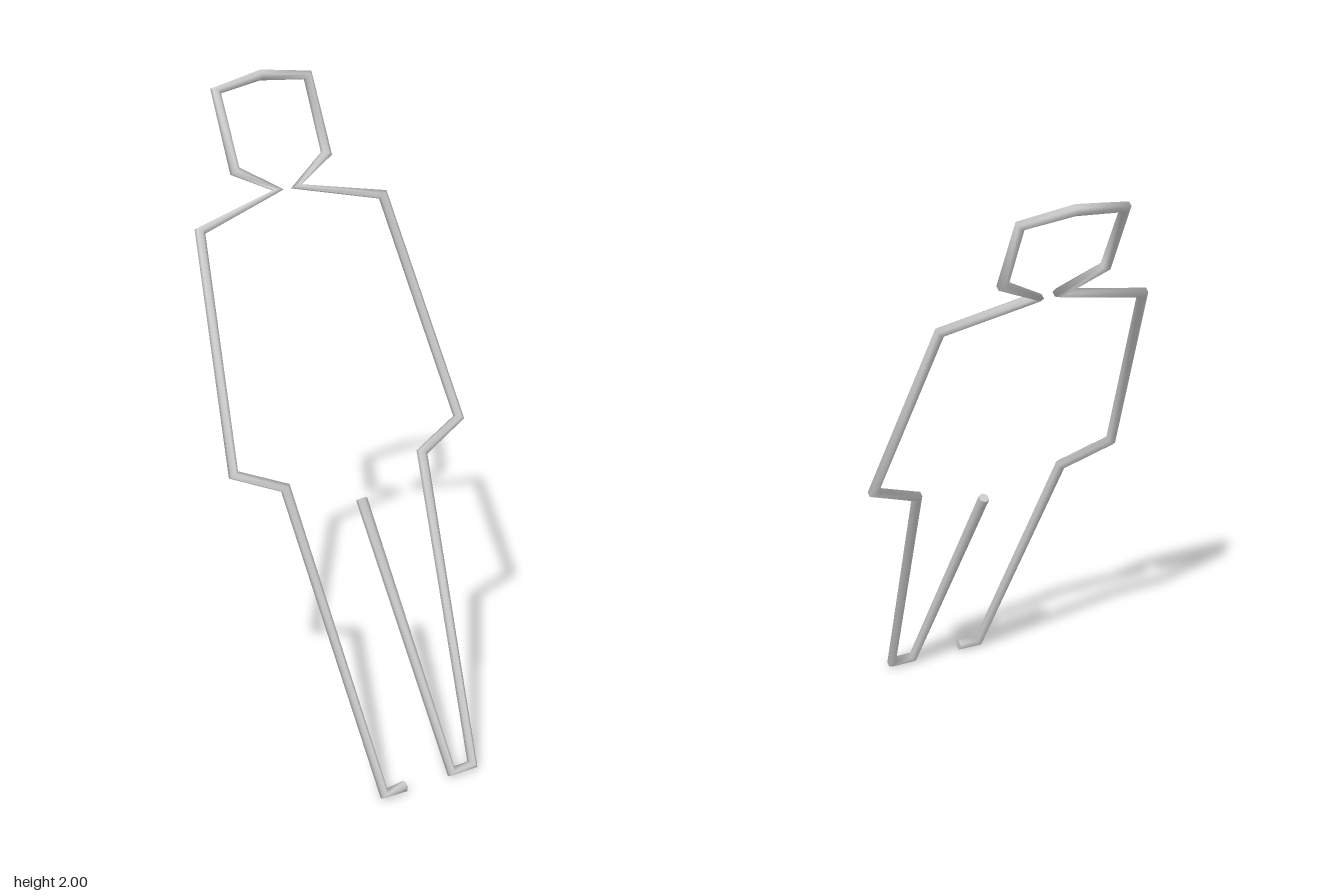
import * as THREE from 'three';

const RADIUS = 0.0175;
const SIDES = 6;
const LEAN = 0.502; // the flat outline leans back by this much depth per unit of height

// right half of the outline, from the hip to the jaw and up the head
const half = [[-0.16, 0.02], [-0.243, 0.886], [-0.4, 0.954], [-0.32, 1.602],
  [-0.032, 1.67], [-0.16, 1.742], [-0.16, 1.962]];

function outlinePoints() {
  const mirrored = half.map(([x, y]) => [-x, y]).reverse();
  const flat = [[-0.085, 0.022], ...half, [0, 1.984], ...mirrored, [0.082, 0.02], [0, 0.805]];
  return flat.map(([x, y]) => new THREE.Vector3(x, y, (1 - y) * LEAN));
}

// bent rod: one ring of constant radius at each corner, set on the corner's bisector
function rodGeometry(points) {
  const normal = new THREE.Vector3(0, LEAN, 1).normalize();
  const positions = [], index = [];
  const last = points.length - 1;
  const dir = (a, b) => points[b].clone().sub(points[a]).normalize();
  const rings = points.map((p, i) => {
    const t = new THREE.Vector3();
    if (i > 0) t.add(dir(i - 1, i));
    if (i < last) t.add(dir(i, i + 1));
    const side = t.normalize().cross(normal).normalize();
    return Array.from({ length: SIDES }, (_, k) => {
      const a = (k / SIDES) * Math.PI * 2;
      return p.clone().addScaledVector(normal, RADIUS * Math.cos(a))
        .addScaledVector(side, RADIUS * Math.sin(a));
    });
  });
  rings.forEach(ring => ring.forEach(v => positions.push(v.x, v.y, v.z)));
  for (let i = 0; i < last; i++) {
    for (let k = 0; k < SIDES; k++) {
      const a = i * SIDES + k, b = i * SIDES + (k + 1) % SIDES;
      index.push(a, a + SIDES, b, b, a + SIDES, b + SIDES);
    }
  }
  // end caps with their own vertices, so the rims stay sharp
  for (const ring of [rings[0], rings[last]]) {
    const base = positions.length / 3;
    ring.forEach(v => positions.push(v.x, v.y, v.z));
    for (let k = 1; k < SIDES - 1; k++) {
      if (ring === rings[0]) index.push(base, base + k, base + k + 1);
      else index.push(base, base + k + 1, base + k);
    }
  }
  const g = new THREE.BufferGeometry();
  g.setAttribute('position', new THREE.Float32BufferAttribute(positions, 3));
  g.setIndex(index);
  g.computeVertexNormals();
  return g;
}

export function createModel() {
  const group = new THREE.Group();
  group.name = 'standingFigureOutline';
  const material = new THREE.MeshStandardMaterial({ color: 0xcccccc, side: THREE.DoubleSide });
  const rod = new THREE.Mesh(rodGeometry(outlinePoints()), material);
  rod.name = 'bodyOutlineRod';
  group.add(rod);
  return group;
}
